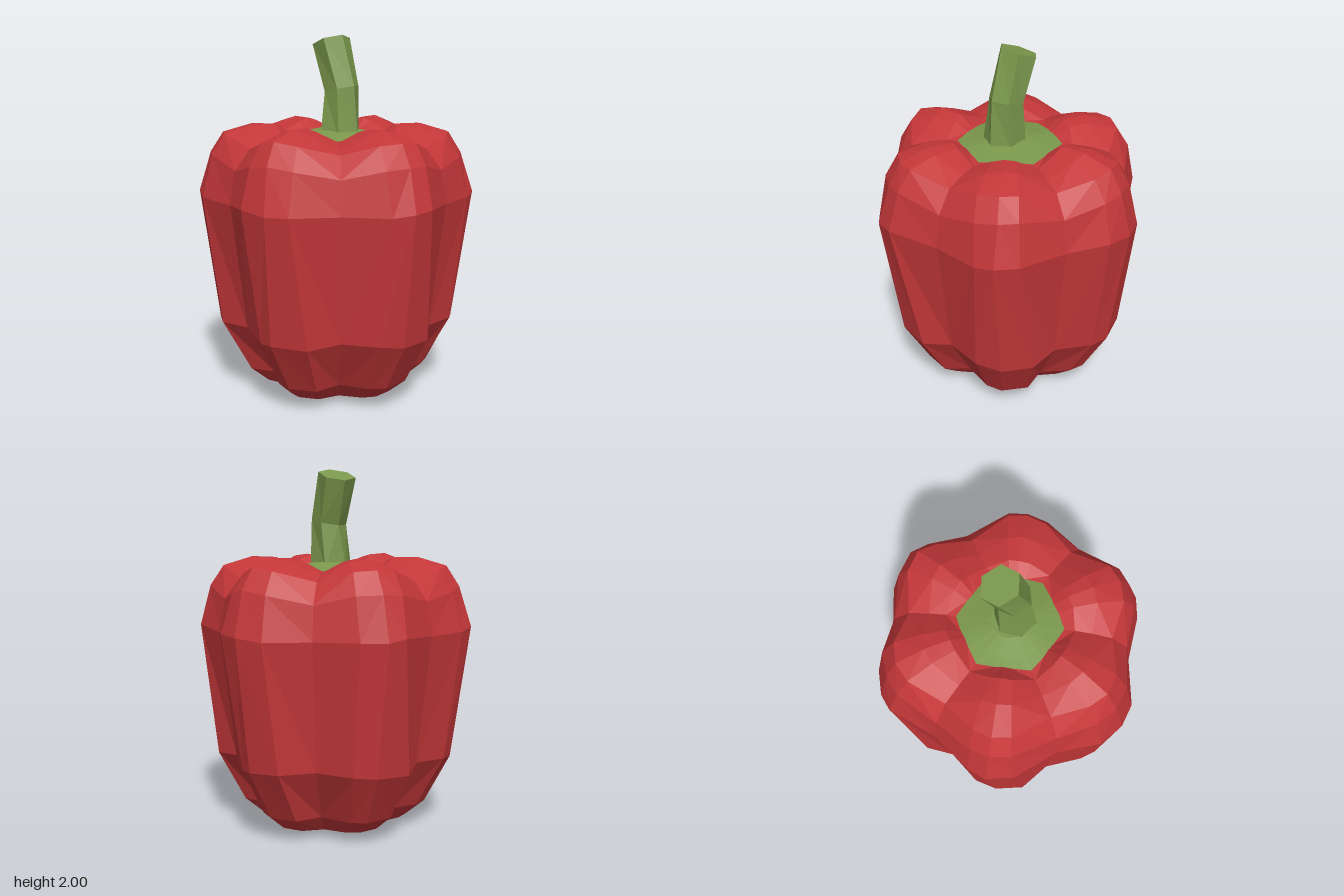
import * as THREE from 'three';

const LOBES = 6;

// Skins a stack of closed rings (arrays of Vector3, bottom to top) with flat facets.
function loft(rings, capBottom, capTop) {
  const pos = [];
  const tri = (...pts) => pts.forEach((p) => pos.push(p.x, p.y, p.z));
  const n = rings[0].length;
  const centre = (ring) =>
    ring.reduce((sum, p) => sum.add(p), new THREE.Vector3()).divideScalar(n);
  for (let j = 0; j < rings.length - 1; j++) {
    for (let i = 0; i < n; i++) {
      const k = (i + 1) % n;
      const a = rings[j][i], b = rings[j][k], c = rings[j + 1][i], d = rings[j + 1][k];
      // alternate the diagonals so that both flanks of a lobe mirror each other
      if (i % 4 < 2) { tri(a, c, d); tri(a, d, b); }
      else { tri(a, c, b); tri(b, c, d); }
    }
  }
  const first = rings[0], last = rings[rings.length - 1];
  const c0 = centre(first), c1 = centre(last);
  for (let i = 0; i < n; i++) {
    const k = (i + 1) % n;
    if (capBottom) tri(c0, first[i], first[k]);
    if (capTop) tri(c1, last[k], last[i]);
  }
  const geo = new THREE.BufferGeometry();
  geo.setAttribute('position', new THREE.Float32BufferAttribute(pos, 3));
  geo.computeVertexNormals();
  return geo;
}

// One lobed ring: crest and groove each have their own radius and height;
// lead is the angle from the groove to the lobe's first shoulder.
function lobedRing([crestR, crestY, grooveR, grooveY, wobble = 0, lead = 21]) {
  const ring = [];
  const steps = [[0, 0], [lead, 0.85], [31, 1], [41, 0.75]]; // degrees, blend to crest
  for (let l = 0; l < LOBES; l++) {
    steps.forEach(([deg, t], s) => {
      const uneven = s ? wobble * Math.sin(l * 2.4 + s * 1.9 + crestY * 5) : 0;
      const a = THREE.MathUtils.degToRad(l * 60 + deg) + uneven * 2;
      const r = THREE.MathUtils.lerp(grooveR, crestR, t) + uneven * 0.5;
      const y = THREE.MathUtils.lerp(grooveY, crestY, t) + uneven;
      ring.push(new THREE.Vector3(r * Math.cos(a), y, r * Math.sin(a)));
    });
  }
  return ring;
}

export function createModel() {
  const red = new THREE.MeshStandardMaterial({ color: 0xc43739 });
  red.name = 'pepperRed';
  const green = new THREE.MeshStandardMaterial({ color: 0x7b984c });
  green.name = 'stemGreen';

  const model = new THREE.Group();
  model.name = 'bellPepper';
  const add = (name, geometry, material) => {
    const mesh = new THREE.Mesh(geometry, material);
    mesh.name = name;
    model.add(mesh);
  };

  // Fruit: crest radius, crest height, groove radius, groove height, unevenness, lead
  const rim = [0.25, 1.46, 0.285, 1.45];
  const body = [
    [0.2, 0, 0.19, 0.01],
    [0.42, 0.05, 0.32, 0.04, 0, 16],
    [0.525, 0.135, 0.41, 0.14, 0, 14],
    [0.672, 0.41, 0.575, 0.43, 0.012, 15],
    [0.765, 1.13, 0.66, 1.12, 0.012],
    [0.7, 1.36, 0.63, 1.3, 0.008],
    [0.63, 1.475, 0.54, 1.41, 0.006],
    [0.47, 1.522, 0.43, 1.44, 0.004],
    [0.33, 1.518, 0.34, 1.45, 0.004],
    rim,
  ];
  add('fruit', loft(body.map(lobedRing), true, false), red);

  // Calyx: nearly flat green disc filling the hollow at the top
  const calyx = [rim, [0.2, 1.468, 0.21, 1.465], [0.1, 1.49, 0.1, 1.49]];
  add('calyx', loft(calyx.map(lobedRing), false, true), green);

  // Stem: bent, slightly twisted hexagonal stalk with a slanted cut end
  // centre x, y, z, radius, slope along x, slope along z, twist
  const stalk = [
    [0.03, 1.45, 0.015, 0.118, 0, 0, 0.1],
    [0.033, 1.71, 0, 0.096, 0.2, 0, 0.3],
    [-0.045, 1.966, -0.025, 0.103, 0.3, 0.15, 0.45],
  ];
  const stemRings = stalk.map(([cx, cy, cz, r, sx, sz, twist]) =>
    Array.from({ length: 6 }, (_, i) => {
      const a = (i / 6) * Math.PI * 2 + twist;
      const x = r * Math.cos(a), z = r * Math.sin(a);
      return new THREE.Vector3(cx + x, cy + sx * x + sz * z, cz + z);
    }));
  add('stem', loft(stemRings, false, true), green);

  return model;
}
